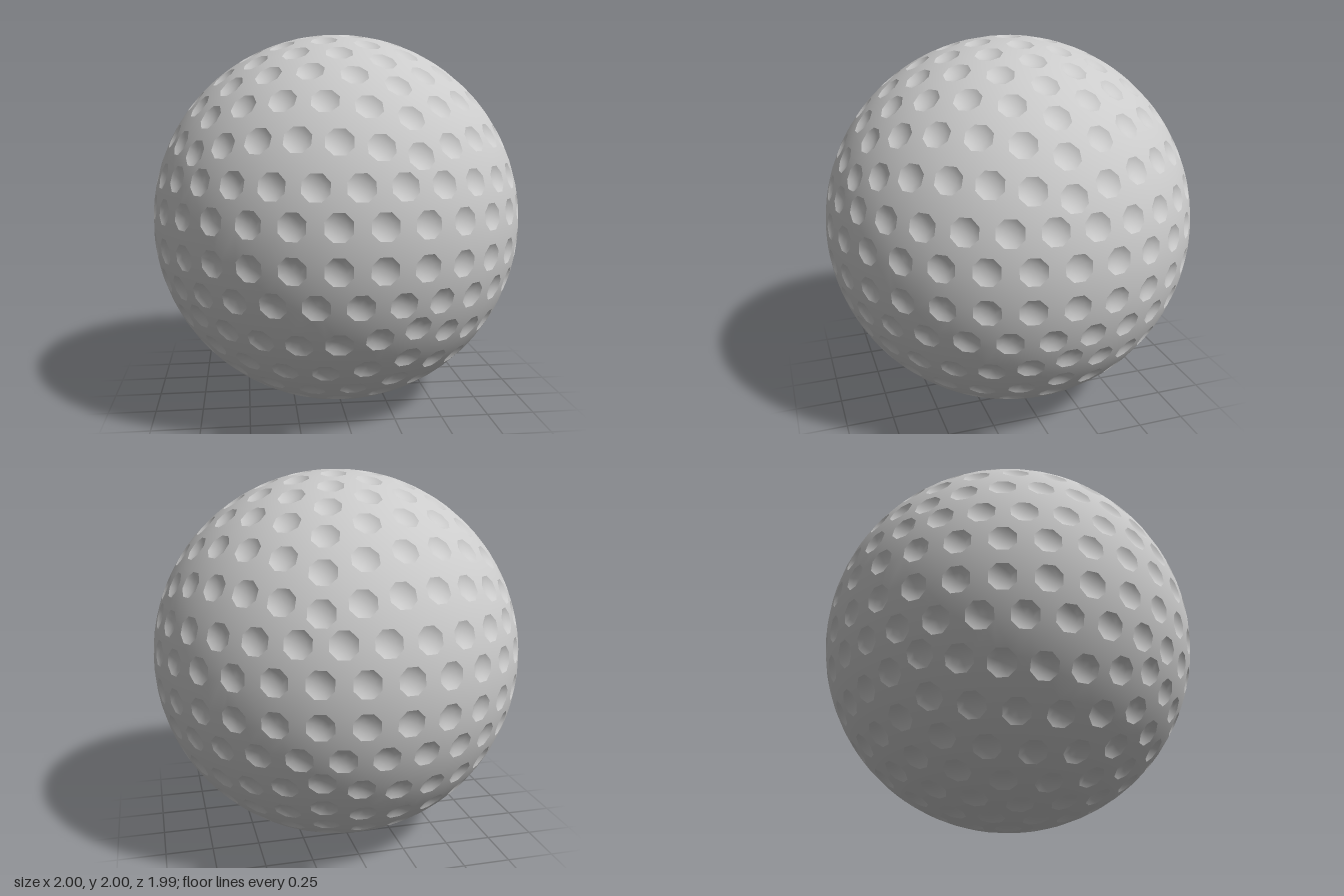
import * as THREE from 'three';
import { ConvexGeometry } from 'three/addons/geometries/ConvexGeometry.js';

const SIDES = 8, RIM = 0.07, DEPTH = 0.018;
const rad = THREE.MathUtils.degToRad;

// unit direction from latitude and azimuth (azimuth 0 = +x, 90 = +z)
function direction(lat, az) {
  const c = Math.cos(rad(lat));
  return new THREE.Vector3(c * Math.cos(rad(az)), Math.sin(rad(lat)), c * Math.sin(rad(az)));
}

// point on the great circle from a to b
function slerp(a, b, t) {
  const w = a.angleTo(b);
  return a.clone().multiplyScalar(Math.sin((1 - t) * w) / Math.sin(w))
    .addScaledVector(b, Math.sin(t * w) / Math.sin(w));
}

// dimple centres: five spherical triangles around each pole, then two rows beside the equator
function dimpleCentres() {
  const pole = new THREE.Vector3(0, 1, 0);
  const half = [pole];
  for (let s = 0; s < 5; s++) {
    const a = direction(23.6, s * 72), b = direction(23.6, s * 72 + 72);
    for (let k = 1; k <= 6; k++) {
      const from = slerp(pole, a, k / 6), to = slerp(pole, b, k / 6);
      for (let j = 0; j < k; j++) half.push(slerp(from, to, j / k));
    }
  }
  for (let i = 0; i < 30; i++) {
    half.push(direction(15.7, i * 12 + 6));
    half.push(direction(5.7, i * 12));
  }
  return [...half, ...half.map(p => new THREE.Vector3(p.x, -p.y, p.z))];
}

// ring of points around a centre: radius r, height h along the centre direction
function ring(c, r, h) {
  const up = Math.abs(c.y) > 0.999 ? new THREE.Vector3(1, 0, 0) : new THREE.Vector3(0, 1, 0);
  const u = new THREE.Vector3().crossVectors(up, c).normalize();
  const v = new THREE.Vector3().crossVectors(c, u);
  return Array.from({ length: SIDES }, (_, i) => {
    const t = (i + 0.5) * 2 * Math.PI / SIDES;
    return c.clone().multiplyScalar(h)
      .addScaledVector(u, r * Math.cos(t)).addScaledVector(v, r * Math.sin(t));
  });
}

function geometryFrom(positions, normals) {
  const g = new THREE.BufferGeometry();
  g.setAttribute('position', new THREE.Float32BufferAttribute(positions, 3));
  g.setAttribute('normal', new THREE.Float32BufferAttribute(normals, 3));
  return g;
}

// outer skin: hull of all the rims, left open over each dimple
function skinGeometry(centres, rims) {
  const hull = new ConvexGeometry(rims.flat()).attributes.position;
  const owner = p => {
    let best = -1, id = 0;
    centres.forEach((c, i) => { const d = c.dot(p); if (d > best) { best = d; id = i; } });
    return id;
  };
  const pos = [], nor = [];
  for (let i = 0; i < hull.count; i += 3) {
    const tri = [0, 1, 2].map(k => new THREE.Vector3().fromBufferAttribute(hull, i + k));
    const [a, b, c] = tri.map(owner);
    if (a === b && b === c) continue;
    for (const p of tri) {
      pos.push(p.x, p.y, p.z);
      const n = p.clone().normalize();
      nor.push(n.x, n.y, n.z);
    }
  }
  return geometryFrom(pos, nor);
}

// shallow round bowls with smooth concave normals
function bowlGeometry(centres, rims) {
  const pos = [], nor = [];
  const top = Math.cos(RIM), r = Math.sin(RIM);
  const bowl = (r * r + DEPTH * DEPTH) / (2 * DEPTH);
  centres.forEach((c, d) => {
    const focus = c.clone().multiplyScalar(top - DEPTH + bowl);
    const put = (...points) => points.forEach(p => {
      const n = focus.clone().sub(p).normalize();
      pos.push(p.x, p.y, p.z);
      nor.push(n.x, n.y, n.z);
    });
    const rim = rims[d], mid = ring(c, r * 0.55, top - DEPTH * (1 - 0.55 ** 2));
    const base = c.clone().multiplyScalar(top - DEPTH);
    for (let i = 0; i < SIDES; i++) {
      const j = (i + 1) % SIDES;
      put(mid[i], rim[i], rim[j], mid[i], rim[j], mid[j], base, mid[i], mid[j]);
    }
  });
  return geometryFrom(pos, nor);
}

export function createModel() {
  const group = new THREE.Group();
  group.name = 'dimpledBall';
  const material = new THREE.MeshStandardMaterial({ color: 0xcccccc });
  const centres = dimpleCentres();
  const rims = centres.map(c => ring(c, Math.sin(RIM), Math.cos(RIM)));
  const parts = { outerSkin: skinGeometry(centres, rims), dimples: bowlGeometry(centres, rims) };
  for (const [name, geometry] of Object.entries(parts)) {
    const mesh = new THREE.Mesh(geometry, material);
    mesh.name = name;
    mesh.position.y = Math.cos(RIM);
    group.add(mesh);
  }
  return group;
}
